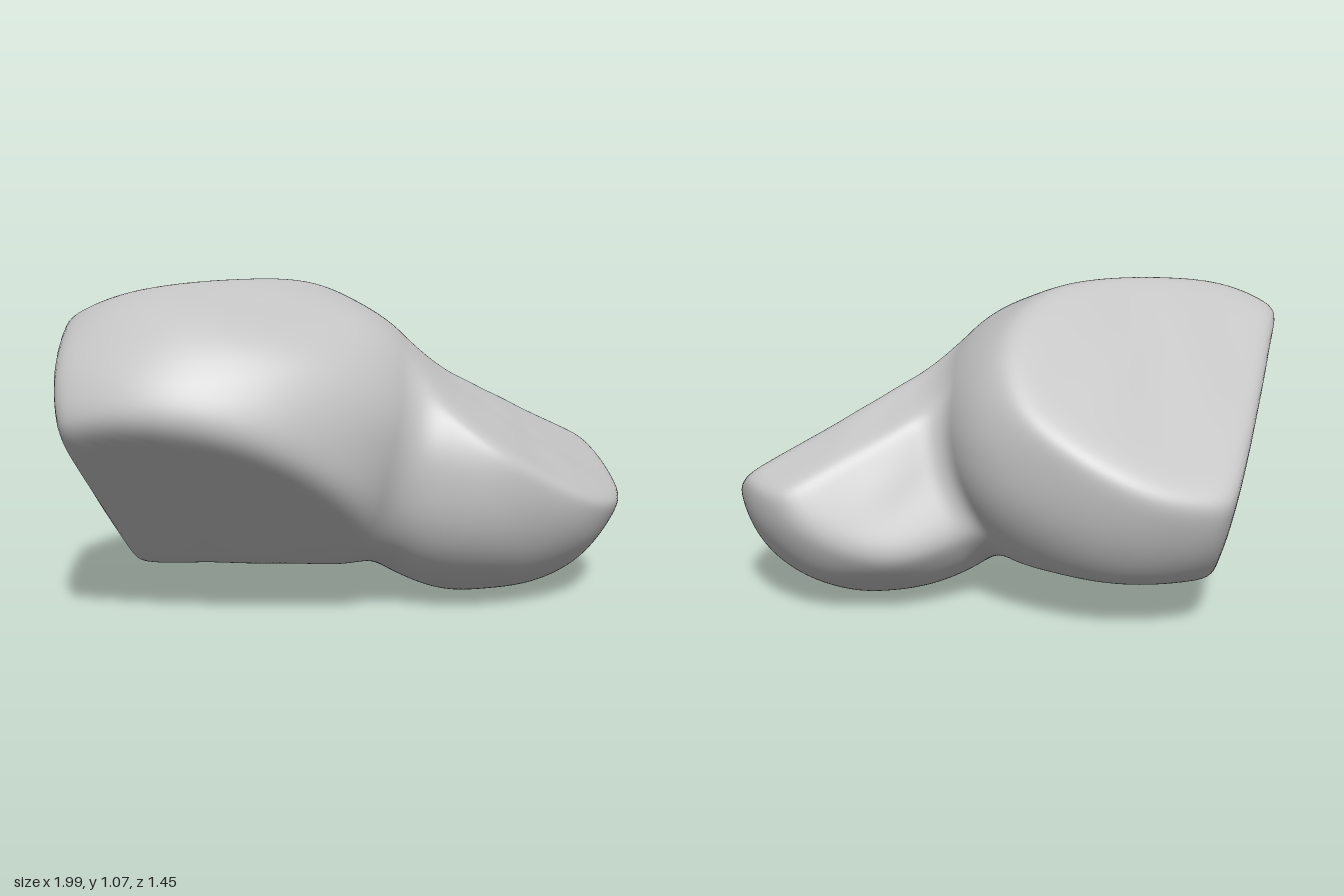
import * as THREE from 'three';
import { mergeVertices } from 'three/addons/utils/BufferGeometryUtils.js';

const stone = new THREE.MeshStandardMaterial({ color: 0xc4c4c4 });
stone.name = 'grey stone';

// A boulder as a field (negative inside): a lopsided ellipsoid whose sides are
// sliced off by softly rounded planes.
// lo / hi: radii towards the negative / positive axes; cuts: [nx, ny, nz, offset].
function boulder(center, lo, hi, power, cuts, seed) {
  const c = new THREE.Vector3(...center);
  const planes = cuts.map(([x, y, z, d]) => {
    const n = new THREE.Vector3(x, y, z);
    const len = n.length();
    n.divideScalar(len);
    return { n, dist: d / len - n.dot(c) };
  });
  const sharp = 22;
  const v = new THREE.Vector3();
  return (p) => {
    v.copy(p).sub(c);
    const length = Math.max(v.length(), 1e-6);
    v.divideScalar(length);
    let sum = 0;
    ['x', 'y', 'z'].forEach((a, k) => {
      sum += Math.pow(Math.abs(v[a]) / (v[a] < 0 ? lo[k] : hi[k]), power);
    });
    let inv = Math.pow(sum, sharp / power);
    for (const { n, dist } of planes) {
      const facing = n.dot(v);
      if (facing > 0) inv += Math.pow(facing / dist, sharp);
    }
    // gentle worn unevenness
    const wear = 1 + 0.006 * Math.sin(7 * v.x + 3 * v.y + seed) * Math.sin(6 * v.y - 4 * v.z + seed)
      + 0.004 * Math.sin(9 * v.z + 5 * v.x - seed);
    return length - wear * Math.pow(inv, -1 / sharp);
  };
}

// Union of two fields with a small fillet of width k along the seam
function blend(a, b, k) {
  const h = Math.max(k - Math.abs(a - b), 0) / k;
  return Math.min(a, b) - h * h * k / 4;
}

export function createModel() {
  const large = boulder([-0.3, 0.58, -0.05],
    [0.76, 0.6, 0.7], [0.7, 0.52, 0.645], 2.08, [
      [0, 0.786, -0.618, 0.84],       // sloping top at the back
      [0, 0.936, 0.351, 1.035],       // shallow slope of the crown
      [-0.78, -0.2, -0.55, 0.535],    // rear left cut
      [0.65, 0, -0.76, 0.535],        // rear right cut
      [-0.45, -0.71, 0.55, 0.125],    // undercut at the front
      [0.05, -1, 0, -0.15],           // flat underside
    ], 1.3);

  const small = boulder([0.5, 0.42, 0.27],
    [0.56, 0.42, 0.44], [0.51, 0.47, 0.455], 2.08, [
      [0.378, 0.8, 0.466, 0.868],     // front slope of the top
      [0.38, 0.89, -0.25, 0.755],     // back slope of the top
      [0.15, 0.4, -0.9, 0.3],         // rear face
    ], 4.1);

  // One skin around both boulders, found along rays from a point they share
  let skin = new THREE.IcosahedronGeometry(1, 60);
  skin.deleteAttribute('uv');
  skin.deleteAttribute('normal');
  skin = mergeVertices(skin, 1e-4);
  const origin = new THREE.Vector3(0.14, 0.42, 0.1);
  const pos = skin.attributes.position;
  const dir = new THREE.Vector3();
  const p = new THREE.Vector3();
  for (let i = 0; i < pos.count; i++) {
    dir.fromBufferAttribute(pos, i).normalize();
    let near = 0, far = 1.8;
    for (let step = 0; step < 22; step++) {
      const mid = (near + far) / 2;
      p.copy(origin).addScaledVector(dir, mid);
      if (blend(large(p), small(p), 0.1) < 0) near = mid;
      else far = mid;
    }
    p.copy(origin).addScaledVector(dir, near);
    pos.setXYZ(i, p.x, p.y, p.z);
  }
  skin.computeVertexNormals();

  const rocks = new THREE.Mesh(skin, stone);
  rocks.name = 'joinedBoulders';
  const group = new THREE.Group();
  group.name = 'rockPair';
  group.add(rocks);
  return group;
}
